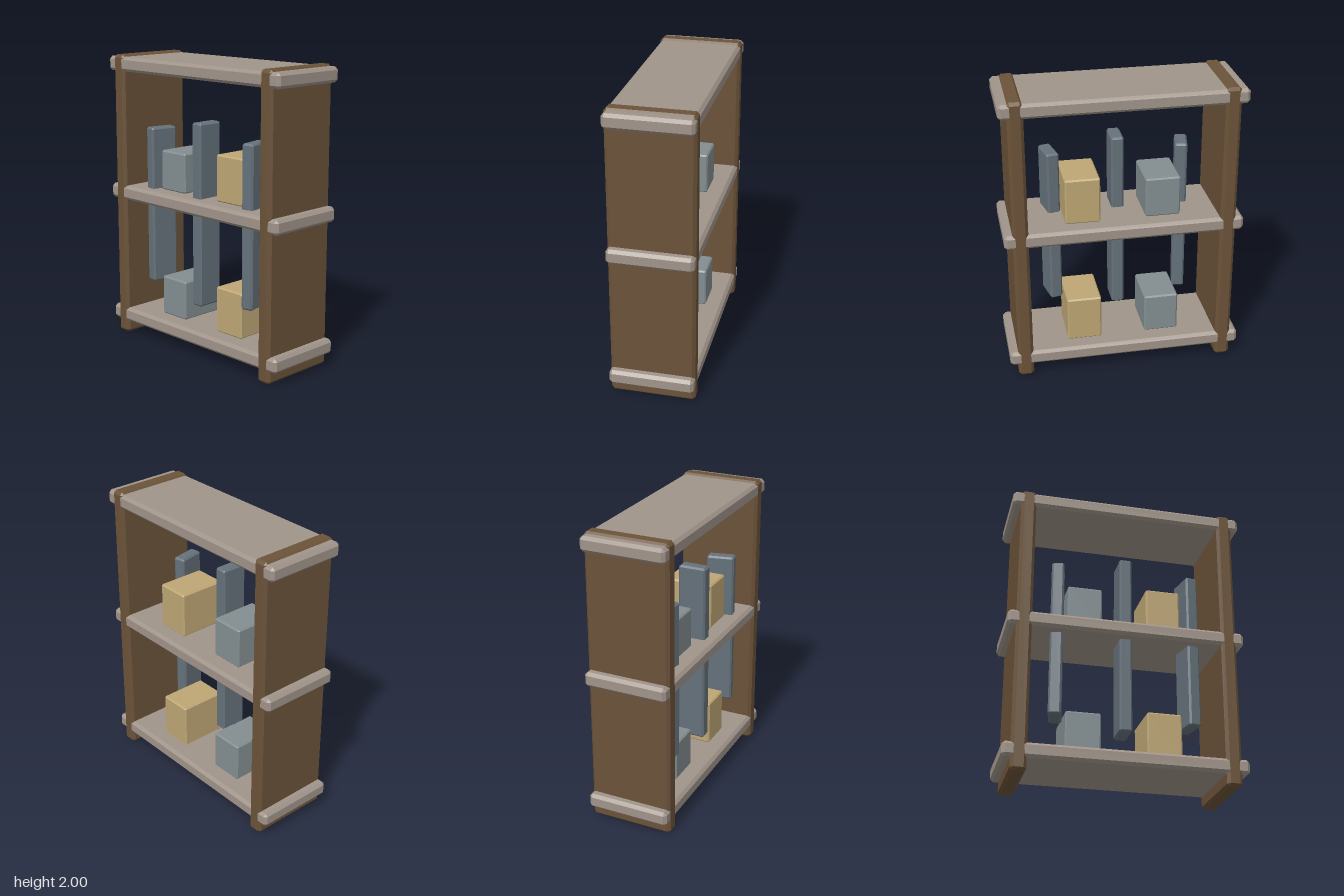
import * as THREE from 'three';
import { ConvexGeometry } from 'three/addons/geometries/ConvexGeometry.js';

const paint = (color) => new THREE.MeshStandardMaterial({ color, flatShading: true });

// Box with every edge cut by a flat chamfer c
function chamferBox(w, h, d, c) {
  const half = [w / 2, h / 2, d / 2];
  const points = [];
  for (const sx of [-1, 1]) for (const sy of [-1, 1]) for (const sz of [-1, 1]) {
    const sign = [sx, sy, sz];
    for (let face = 0; face < 3; face++) {
      points.push(new THREE.Vector3(...half.map((v, i) => sign[i] * (i === face ? v : v - c))));
    }
  }
  return new ConvexGeometry(points);
}

export function createModel() {
  const model = new THREE.Group();
  model.name = 'shelfUnit';

  const wood = paint(0x6b5339);
  const board = paint(0xa0948a);
  const steel = paint(0x65717a);
  const grey = paint(0x838e91);
  const gold = paint(0xbea775);

  function add(name, material, size, chamfer, position) {
    const mesh = new THREE.Mesh(chamferBox(...size, chamfer), material);
    mesh.name = name;
    mesh.position.set(...position);
    model.add(mesh);
    return mesh;
  }

  // Side panels and the leaning outer slabs, mirrored
  for (const s of [-1, 1]) {
    const side = s > 0 ? 'left' : 'right';
    add(side + 'Panel', wood, [0.104, 2, 0.568], 0.02, [s * 0.693, 1, 0]);
    const slab = add(side + 'Slab', steel, [0.085, 1.095, 0.19], 0.012, [s * 0.45, 0.965, 0.11]);
    slab.rotation.y = s * 0.2;
  }

  // Tall middle slab passing through the middle shelf
  add('middleSlab', steel, [0.085, 1.255, 0.19], 0.012, [0, 0.965, 0.11]);

  // Shelves running through the side panels
  ['bottomShelf', 'middleShelf', 'topShelf'].forEach((name, i) => {
    add(name, board, [1.6, 0.1, 0.566], 0.02, [0, 0.137 + i * 0.9, 0]);
  });

  // One grey and one gold box on each of the lower two shelves
  ['lower', 'upper'].forEach((level, i) => {
    const base = 0.185 + i * 0.9;
    add(level + 'GreyBox', grey, [0.235, 0.276, 0.33], 0.01, [-0.272, base + 0.138, 0]);
    add(level + 'GoldBox', gold, [0.235, 0.316, 0.34], 0.01, [0.268, base + 0.158, -0.005]);
  });

  return model;
}
